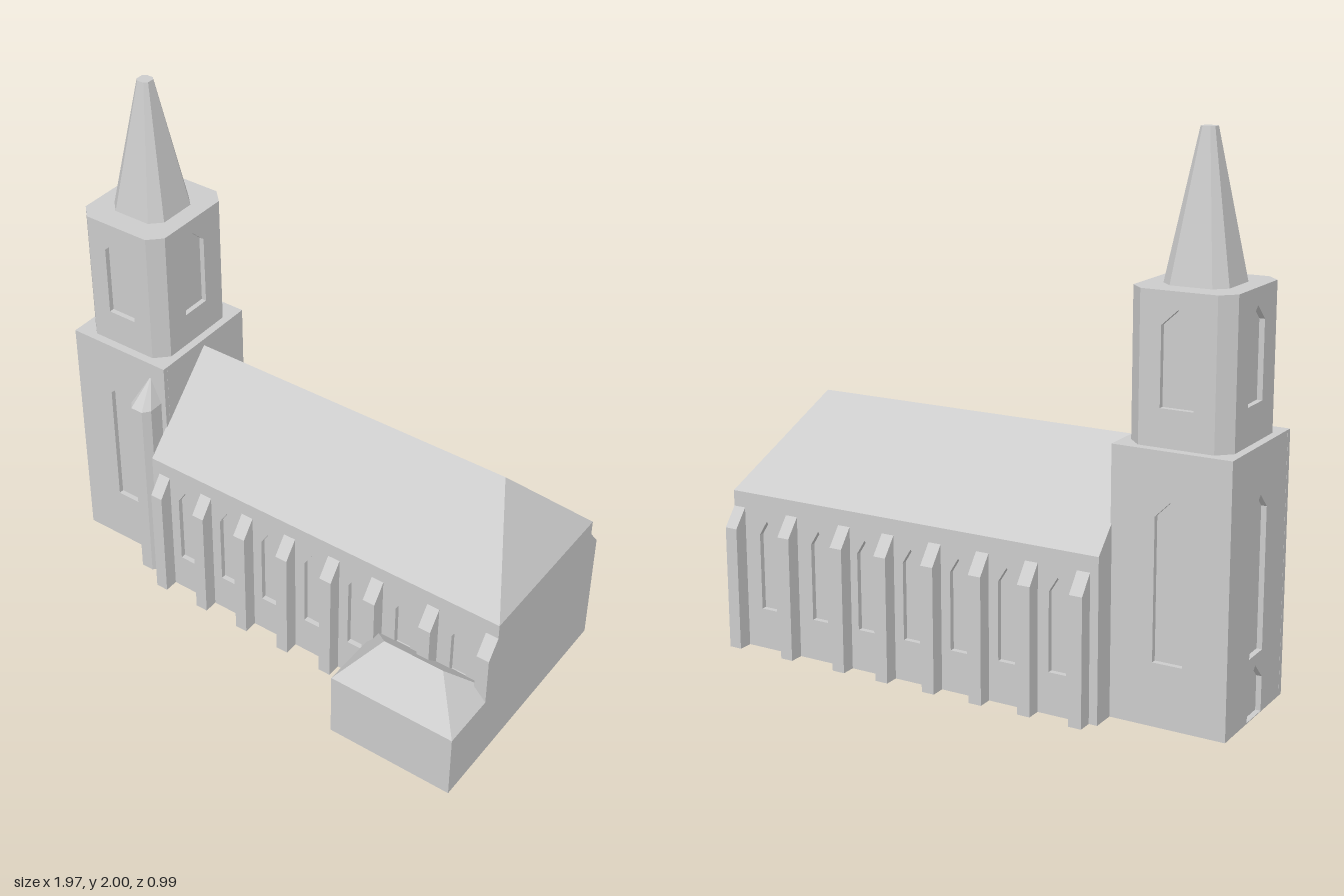
import * as THREE from 'three';

const RECESS = 0.02;
const CZ = -0.11; // shared axis of tower and nave
const TX = -0.768; // tower centre

export function createModel() {
  const model = new THREE.Group();
  const stone = new THREE.MeshStandardMaterial({ color: 0xcccccc });
  stone.name = 'stone grey';

  function add(name, geometry, x = 0, y = 0, z = 0, turn = 0) {
    const mesh = new THREE.Mesh(geometry, stone);
    mesh.name = name;
    mesh.position.set(x, y, z);
    mesh.rotation.y = turn;
    model.add(mesh);
    return mesh;
  }

  // Box given by its limits
  function block(name, x0, x1, y0, y1, z0, z1) {
    add(name, new THREE.BoxGeometry(x1 - x0, y1 - y0, z1 - z0),
      (x0 + x1) / 2, (y0 + y1) / 2, (z0 + z1) / 2);
  }

  // Flat-sided solid between two [x, z] outlines, counter-clockwise from above
  function loft(bottom, top, y0, y1) {
    const points = [];
    const tri = (a, b, c) => {
      const area = new THREE.Triangle(a, b, c).getArea();
      if (area > 1e-7) for (const p of [a, b, c]) points.push(p);
    };
    const lo = bottom.map(([x, z]) => new THREE.Vector3(x, y0, z));
    const hi = top.map(([x, z]) => new THREE.Vector3(x, y1, z));
    for (let i = 0; i < lo.length; i++) {
      const j = (i + 1) % lo.length;
      tri(lo[i], lo[j], hi[j]);
      tri(lo[i], hi[j], hi[i]);
      if (i > 0 && j > 0) {
        tri(hi[0], hi[i], hi[j]);
        tri(lo[0], lo[j], lo[i]);
      }
    }
    const geometry = new THREE.BufferGeometry().setFromPoints(points);
    geometry.computeVertexNormals();
    return geometry;
  }

  // Rectangle with cut corners
  const chamfered = (hx, hz, c) => [
    [-hx + c, hz], [hx - c, hz], [hx, hz - c], [hx, -hz + c],
    [hx - c, -hz], [-hx + c, -hz], [-hx, -hz + c], [-hx, hz - c],
  ];

  // Roof over a rectangle with its ridge along x
  function ridgeRoof(name, x0, x1, z0, z1, y0, y1, r0, r1) {
    const zr = (z0 + z1) / 2;
    add(name, loft([[x0, z1], [x1, z1], [x1, z0], [x0, z0]],
      [[r0, zr], [r1, zr], [r1, zr], [r0, zr]], y0, y1));
  }

  // Wall slab with pointed openings [centre, sill, width, shoulder, peak]
  function wall(name, width, height, openings, x, y, z, turn) {
    const shape = new THREE.Shape([
      [-width / 2, 0], [width / 2, 0], [width / 2, height], [-width / 2, height],
    ].map(p => new THREE.Vector2(...p)));
    for (const [cx, sill, w, shoulder, peak] of openings) {
      shape.holes.push(new THREE.Path([
        [cx - w / 2, sill], [cx - w / 2, shoulder], [cx, peak],
        [cx + w / 2, shoulder], [cx + w / 2, sill],
      ].map(p => new THREE.Vector2(...p))));
    }
    const geometry = new THREE.ExtrudeGeometry(shape, { depth: RECESS, bevelEnabled: false });
    geometry.translate(0, 0, -RECESS);
    add(name, geometry, x, y, z, turn);
  }

  // Nave: core, window walls and roof with one hipped end
  const nx0 = -0.555, nx1 = 0.98, nz0 = -0.44, nz1 = 0.22, ncx = (nx0 + nx1) / 2;
  block('naveCore', nx0, nx1, 0, 0.6, nz0 + RECESS, nz1 - RECESS);
  const windowX = [-0.4, -0.2, -0.005, 0.193, 0.39, 0.595, 0.83];
  for (const side of [1, -1]) {
    const openings = windowX.map(x => [(x - ncx) * side, 0.155, 0.068, 0.445, 0.5]);
    wall(side > 0 ? 'naveFrontWall' : 'naveBackWall', nx1 - nx0, 0.6, openings,
      ncx, 0, side > 0 ? nz1 : nz0, side > 0 ? 0 : Math.PI);
  }
  ridgeRoof('naveRoof', nx0, nx1, nz0, nz1, 0.6, 0.94, nx0, 0.78);

  // Buttresses with sloping tops on both long sides
  const profile = new THREE.Shape([[-0.01, 0], [0.055, 0], [0.055, 0.47], [0, 0.54], [-0.01, 0.54]]
    .map(p => new THREE.Vector2(...p)));
  const buttress = new THREE.ExtrudeGeometry(profile, { depth: 0.05, bevelEnabled: false });
  buttress.rotateY(-Math.PI / 2).translate(0.025, 0, 0);
  for (const x of [-0.498, -0.298, -0.103, 0.092, 0.29, 0.48, 0.715, 0.955]) {
    add('frontButtress', buttress, x, 0, nz1);
    add('backButtress', buttress, x, 0, nz0, Math.PI);
  }

  // Side annex with hipped roof
  block('annexWalls', 0.475, 0.98, 0, 0.27, 0.2, 0.495);
  ridgeRoof('annexRoof', 0.475, 0.98, 0.205, 0.495, 0.27, 0.41, 0.6, 0.845);

  // Tower base with tall windows and a doorway
  const tx0 = -0.985, tx1 = -0.55, tz0 = -0.35, tz1 = 0.13, th = 0.967;
  block('towerCore', tx0 + RECESS, tx1, 0, th, tz0 + RECESS, tz1 - RECESS);
  const tall = [0, 0.23, 0.11, 0.74, 0.795];
  const door = [0, 0.003, 0.12, 0.13, 0.19];
  wall('towerFrontWall', tx1 - tx0, th, [tall], TX, 0, tz1, 0);
  wall('towerBackWall', tx1 - tx0, th, [tall], TX, 0, tz0, Math.PI);
  wall('towerDoorWall', tz1 - tz0 - 2 * RECESS, th, [tall, door], tx0, 0, CZ, -Math.PI / 2);

  // Belfry: cut corners and a window on each side
  const bx = 0.187, bz = 0.207, cut = 0.05, by = th, bh = 1.49 - th;
  const core = chamfered(bx - RECESS, bz - RECESS, 0.02);
  add('belfryCore', loft(core, core, by, by + bh), TX, 0, CZ);
  for (const sx of [1, -1]) {
    for (const sz of [1, -1]) {
      const post = [[bx - cut, bz], [bx, bz - cut], [bx - cut, bz - cut]]
        .map(([x, z]) => [x * sx, z * sz]);
      if (sx * sz < 0) post.reverse();
      add('belfryCorner', loft(post, post, by, by + bh), TX, 0, CZ);
    }
  }
  const bell = [0, 1.1 - by, 0.12, 1.375 - by, 1.43 - by];
  for (let i = 0; i < 4; i++) {
    const turn = i * Math.PI / 2, alongX = i % 2 === 0;
    const out = alongX ? bz : bx;
    wall('belfryWall', 2 * ((alongX ? bx : bz) - cut), bh, [bell],
      TX + Math.sin(turn) * out, by, CZ + Math.cos(turn) * out, turn);
  }

  // Spire
  add('spire', loft(chamfered(0.118, 0.118, 0.042), chamfered(0.026, 0.026, 0.012), 1.49, 2),
    TX, 0, CZ);

  // Stair turret against the tower
  const turret = [[-0.667, 0.12], [-0.667, 0.19], [-0.645, 0.218],
    [-0.595, 0.218], [-0.572, 0.19], [-0.572, 0.12]];
  add('turret', loft(turret, turret, 0, 0.8));
  add('turretRoof', loft(turret, turret.map(() => [-0.62, 0.125]), 0.8, 0.905));

  return model;
}
